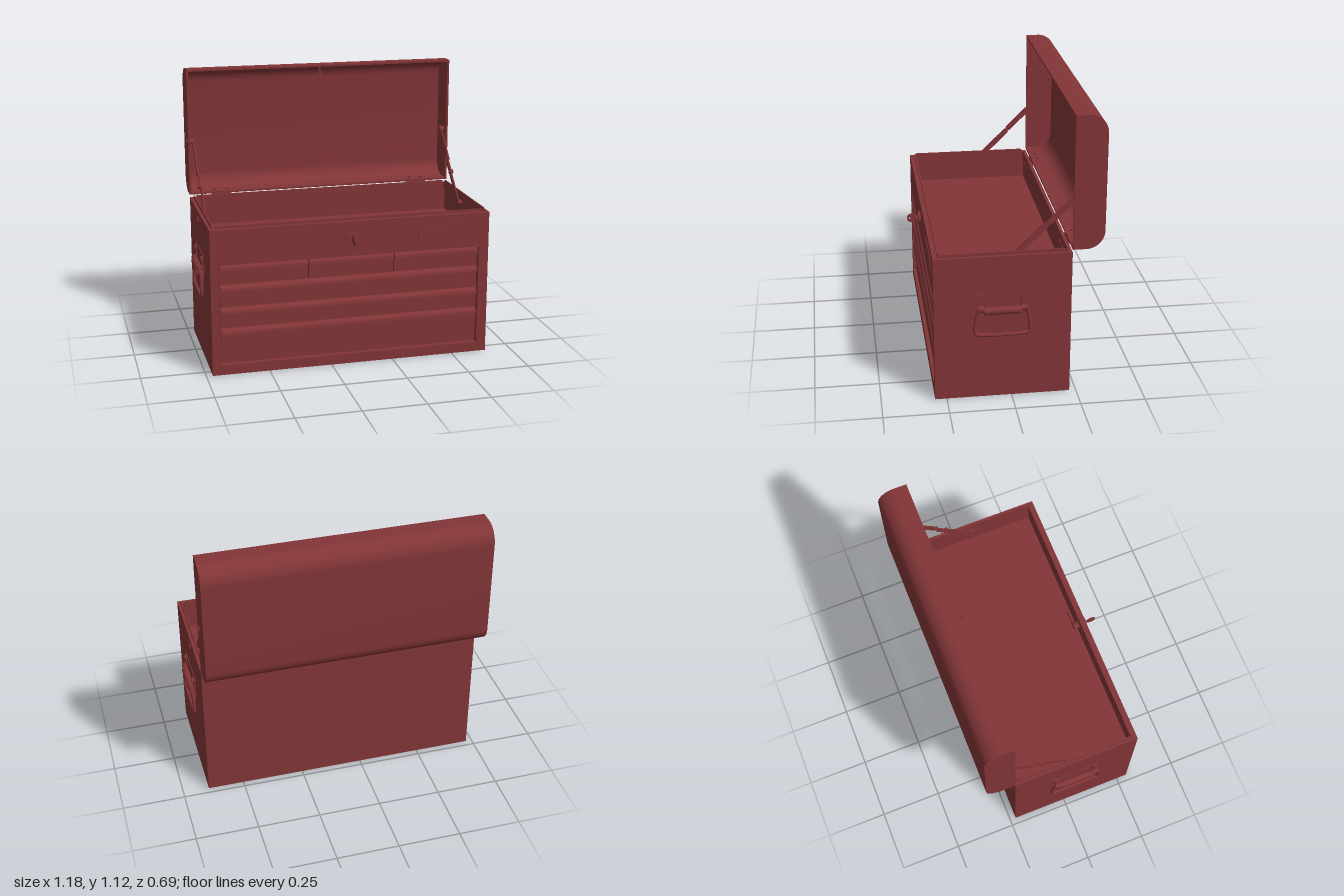
import * as THREE from 'three';
import { toCreasedNormals } from 'three/addons/utils/BufferGeometryUtils.js';

const X0 = -0.975, X1 = 0.145, XC = (X0 + X1) / 2; // chest sides
const ZF = 0.295, ZB = -0.225, ZC = (ZF + ZB) / 2; // chest front and back

export function createModel() {
  const model = new THREE.Group();
  model.name = 'toolChest';
  const red = new THREE.MeshStandardMaterial({ color: 0x823537 });
  red.name = 'red paint';

  const add = (parent, name, geometry) => {
    const mesh = new THREE.Mesh(geometry, red);
    mesh.name = name;
    parent.add(mesh);
    return mesh;
  };
  const group = (name, parent = model) => {
    const g = new THREE.Group();
    g.name = name;
    parent.add(g);
    return g;
  };
  // box from its min and max corners
  const box = (parent, name, x0, x1, y0, y1, z0, z1) => {
    const m = add(parent, name, new THREE.BoxGeometry(x1 - x0, y1 - y0, z1 - z0));
    m.position.set((x0 + x1) / 2, (y0 + y1) / 2, (z0 + z1) / 2);
    return m;
  };
  // cylinder lying along x or z
  const rod = (parent, name, axis, r, length, x, y, z) => {
    const g = new THREE.CylinderGeometry(r, r, length, 20);
    if (axis === 'x') g.rotateZ(Math.PI / 2); else g.rotateX(Math.PI / 2);
    const m = add(parent, name, g);
    m.position.set(x, y, z);
    return m;
  };
  // (z, y) profile swept along x
  const sweepX = (parent, name, shape, x0, x1) => {
    const g = new THREE.ExtrudeGeometry(shape, { depth: x1 - x0, bevelEnabled: false, curveSegments: 10 });
    g.rotateY(-Math.PI / 2).translate(x1, 0, 0);
    return add(parent, name, toCreasedNormals(g, 0.6));
  };
  const poly = (pts) => new THREE.Shape(pts.map((p) => new THREE.Vector2(...p)));

  // ---- body shell ----
  const body = group('body');
  const T = 0.012, H = 0.585;
  const face = poly([[X0, 0], [X1, 0], [X1, H], [X0, H]]);
  face.holes.push(poly([[-0.94, 0.04], [-0.94, 0.445], [0.105, 0.445], [0.105, 0.04]]));
  add(body, 'frontFrame', new THREE.ExtrudeGeometry(face, { depth: 0.02, bevelEnabled: false }))
    .position.z = ZF - 0.02;
  box(body, 'backWall', X0, X1, 0, H, ZB, ZB + T);
  box(body, 'rightWall', X0, X0 + T, 0, H, ZB + T, ZF - 0.02);
  box(body, 'leftWall', X1 - T, X1, 0, H, ZB + T, ZF - 0.02);
  box(body, 'bottom', X0 + T, X1 - T, 0, T, ZB + T, ZF - 0.02);
  box(body, 'trayFloor', X0 + T, X1 - T, 0.455, 0.467, ZB + T, ZF - 0.02);
  box(body, 'drawerBack', X0 + T, X1 - T, T, 0.455, 0.258, 0.266);

  // raised lip inside the rim, trimmed at the corners
  for (const x of [X0 + T, X1 - T - 0.005]) {
    sweepX(body, 'sideLip', poly([[ZB + T, 0.56], [0.283, 0.56], [0.283, 0.583], [0.268, 0.597],
      [ZB + 0.026, 0.597], [ZB + T, 0.583]]), x, x + 0.005);
  }
  box(body, 'frontLip', X0 + 0.025, X1 - 0.025, 0.56, 0.595, 0.27, 0.276);
  box(body, 'backLip', X0 + 0.025, X1 - 0.025, 0.56, 0.595, ZB + T, ZB + T + 0.005);
  box(body, 'namePlate', -0.15, 0.05, 0.495, 0.548, ZF, ZF + 0.003);

  // ---- drawers with a rolled pull along the top ----
  const drawers = group('drawers');
  const drawer = (x0, x1, y0, y1) => {
    const s = new THREE.Shape();
    s.moveTo(0.266, y0);
    s.lineTo(0.281, y0);
    s.lineTo(0.281, y1 - 0.026);
    s.lineTo(0.293, y1 - 0.024);
    s.quadraticCurveTo(0.294, y1 - 0.004, 0.279, y1);
    s.lineTo(0.266, y1);
    sweepX(drawers, 'drawer', s, x0, x1);
  };
  for (const [a, b] of [[-0.937, -0.592], [-0.588, -0.247], [-0.243, 0.102]]) drawer(a, b, 0.363, 0.443);
  for (const [a, b] of [[0.272, 0.359], [0.187, 0.268], [0.043, 0.183]]) drawer(-0.937, 0.102, a, b);

  // ---- lock with key ----
  const lock = group('lock');
  rod(lock, 'lockCollar', 'z', 0.026, 0.01, -0.42, 0.517, ZF + 0.005);
  rod(lock, 'lockCore', 'z', 0.015, 0.055, -0.42, 0.517, 0.28);
  box(lock, 'lockCam', -0.43, -0.35, 0.508, 0.526, 0.253, 0.257);
  const bow = new THREE.Shape().absarc(0.331, 0.517, 0.019, 0, Math.PI * 2);
  bow.holes.push(new THREE.Path().absarc(0.339, 0.517, 0.004, 0, Math.PI * 2, true));
  sweepX(lock, 'keyBow', bow, -0.422, -0.418);
  box(lock, 'keyShaft', -0.422, -0.418, 0.511, 0.523, 0.3, 0.318);

  // ---- open lid: rounded hollow shell ----
  const lid = group('lid');
  const y0 = 0.595, y1 = 1.115, zb = -0.345, R = 0.07, t = 0.008;
  const skin = (s, d) => { // rounded side, from bottom front to top front
    s.lineTo(zb + R, y0 + d);
    s.absarc(zb + R, y0 + R, R - d, -Math.PI / 2, -Math.PI, true);
    s.absarc(zb + R, y1 - R, R - d, Math.PI, Math.PI / 2, true);
    s.lineTo(ZB, y1 - d);
  };
  const solid = new THREE.Shape();
  solid.moveTo(ZB, y0);
  skin(solid, 0);
  const inner = new THREE.Shape();
  inner.moveTo(ZB, y0 + t);
  skin(inner, t);
  const shell = new THREE.Shape([...solid.getPoints(10), ...inner.getPoints(10).reverse()]);
  sweepX(lid, 'lidShell', shell, X0 + t, X1 - t);
  sweepX(lid, 'lidRightEnd', solid, X0, X0 + t);
  sweepX(lid, 'lidLeftEnd', solid, X1 - t, X1);

  // lid catch
  box(lid, 'catchPlate', -0.423, -0.417, 1.06, y1 - t, -0.232, -0.226);
  const loop = poly([[-0.228, 1.06], [-0.215, 1.06], [-0.215, 1.093], [-0.228, 1.093]]);
  loop.holes.push(poly([[-0.225, 1.065], [-0.225, 1.088], [-0.219, 1.088], [-0.219, 1.065]]));
  sweepX(lid, 'catchLoop', loop, -0.424, -0.416);

  // ---- folding lid stays ----
  const low = new THREE.Vector2(0.01, 0.553), top = new THREE.Vector2(-0.255, 0.813);
  const dir = top.clone().sub(low);
  for (const [x, out] of [[X1 - 0.026, 1], [X0 + 0.026, -1]]) {
    const stay = group(out > 0 ? 'leftStay' : 'rightStay');
    const arm = (name, a, b, w, dx) => {
      const p = low.clone().addScaledVector(dir, (a + b) / 2);
      const m = add(stay, name, new THREE.BoxGeometry(0.005, w, dir.length() * (b - a)));
      m.position.set(x + dx * out, p.y, p.x);
      m.rotation.x = Math.atan2(-dir.y, dir.x) + Math.PI;
      m.rotation.x = Math.atan2(-dir.y, dir.x);
    };
    arm('lowerArm', -0.03, 0.54, 0.022, -0.003);
    arm('upperArm', 0.56, 1.03, 0.022, 0.003);
    arm('stayLink', 0.4, 0.62, 0.014, 0);
    const joint = low.clone().addScaledVector(dir, 0.41);
    rod(stay, 'stayRivet', 'x', 0.009, 0.016, x, joint.y, joint.x);
    for (const p of [low, top]) rod(stay, 'stayBolt', 'x', 0.011, 0.034, x + 0.014 * out, p.y, p.x);
  }

  // ---- hinges ----
  for (const x of [-0.84, 0.01]) {
    const hinge = group('hinge');
    const leaf = new THREE.Shape();
    leaf.moveTo(x - 0.04, 0.588);
    leaf.lineTo(x - 0.04, 0.565);
    leaf.absarc(x, 0.565, 0.04, Math.PI, Math.PI * 2, false);
    leaf.lineTo(x + 0.04, 0.588);
    add(hinge, 'bodyLeaf', new THREE.ExtrudeGeometry(leaf, { depth: 0.006, bevelEnabled: false }))
      .position.z = ZB - 0.006;
    rod(hinge, 'knuckle', 'x', 0.007, 0.08, x, 0.587, ZB - 0.008);
    box(hinge, 'lidLeaf', x - 0.04, x + 0.04, 0.588, 0.595, -0.268, ZB - 0.004);
    for (const dx of [-0.025, 0.025]) {
      rod(hinge, 'hingeBolt', 'z', 0.007, 0.028, x + dx, 0.56, ZB + 0.007);
      const nut = add(hinge, 'lidBolt', new THREE.CylinderGeometry(0.007, 0.007, 0.018, 16));
      nut.position.set(x + dx, 0.6, -0.253);
    }
  }

  // ---- drop handles on both ends ----
  const makeHandle = (name, x, turn) => {
    const h = group(name);
    h.position.set(x, 0, 0.037);
    h.rotation.y = turn;
    box(h, 'mountPlate', 0, 0.003, 0.36, 0.44, -0.103, 0.103);
    rod(h, 'grip', 'z', 0.015, 0.14, 0.013, 0.37, 0);
    const pts = [[0.37, -0.07], [0.378, -0.083], [0.368, -0.091], [0.3, -0.105], [0.278, -0.102], [0.272, -0.085],
      [0.272, 0.085], [0.278, 0.102], [0.3, 0.105], [0.368, 0.091], [0.378, 0.083], [0.37, 0.07]]
      .map(([y, z]) => new THREE.Vector3(0.013, y, z));
    add(h, 'bail', new THREE.TubeGeometry(new THREE.CatmullRomCurve3(pts, false, 'centripetal'), 90, 0.007, 10));
    for (const z of [-0.082, 0.082]) {
      box(h, 'strap', 0.002, 0.007, 0.335, 0.432, z - 0.01, z + 0.01);
      rod(h, 'strapBarrel', 'z', 0.012, 0.022, 0.012, 0.378, z);
      rod(h, 'upperRivet', 'x', 0.011, 0.014, 0.005, 0.423, z);
      rod(h, 'lowerRivet', 'x', 0.009, 0.012, 0.005, 0.345, z);
    }
  };
  makeHandle('leftHandle', X1, 0);
  makeHandle('rightHandle', X0, Math.PI);

  return model;
}
